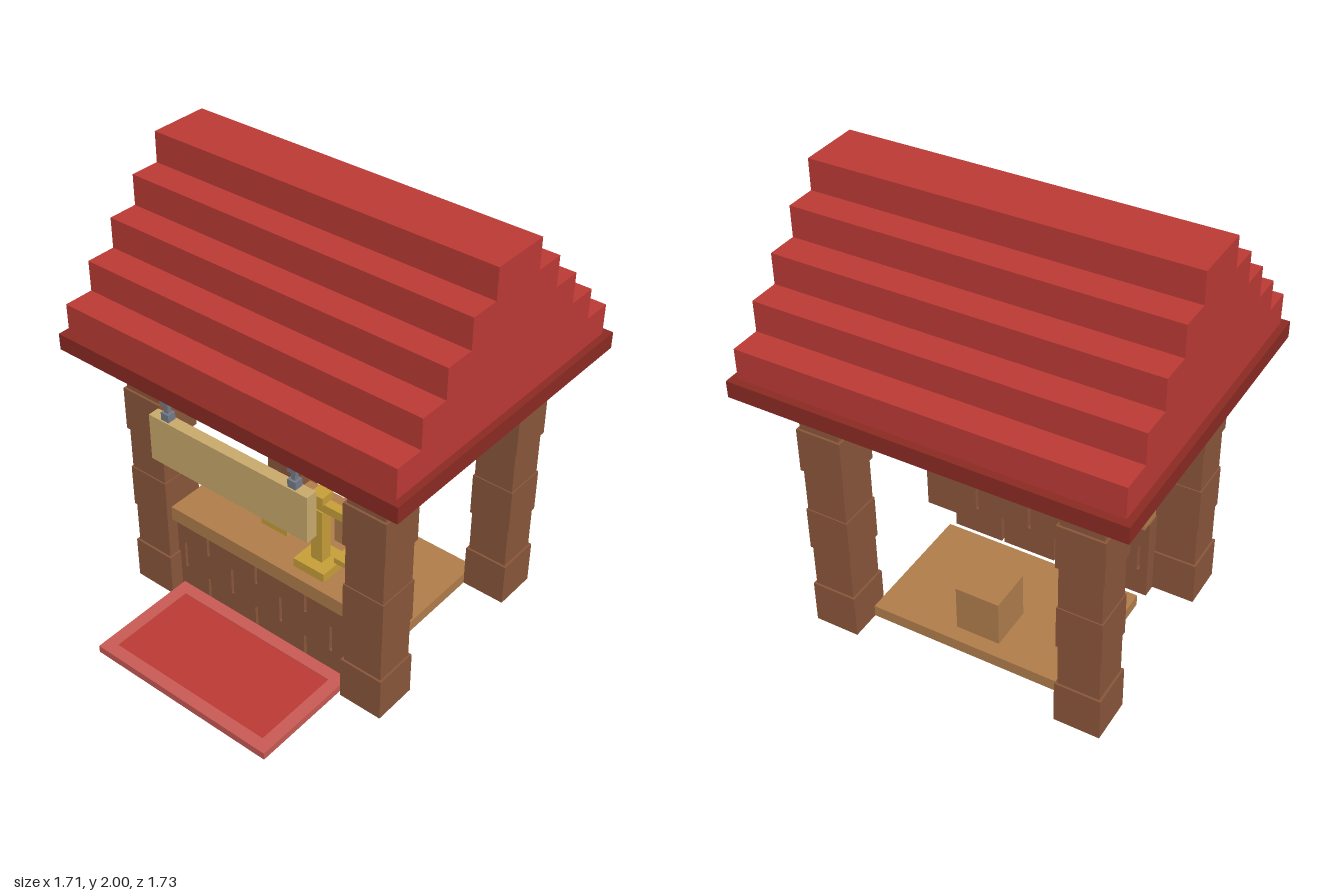
import * as THREE from 'three';

const mat = (name, color) => {
  const m = new THREE.MeshStandardMaterial({ color });
  m.name = name;
  return m;
};

export function createModel() {
  const M = {
    roof: mat('roofRed', 0xbc3a35),
    eave: mat('darkRed', 0x8c2a23),
    trim: mat('lightRed', 0xc95a54),
    wood: mat('brownWood', 0x8a563b),
    plank: mat('lightWood', 0xb07d4b),
    board: mat('paleWood', 0xc8aa6c),
    gold: mat('gold', 0xc79f39),
    iron: mat('greyIron', 0x747a87),
  };
  const model = new THREE.Group();
  model.name = 'marketStall';

  // Box given by its lower and upper limits on each axis
  const box = (parent, name, m, x0, x1, y0, y1, z0, z1) => {
    const mesh = new THREE.Mesh(new THREE.BoxGeometry(x1 - x0, y1 - y0, z1 - z0), m);
    mesh.position.set((x0 + x1) / 2, (y0 + y1) / 2, (z0 + z1) / 2);
    mesh.name = name;
    parent.add(mesh);
  };
  const group = (name) => {
    const g = new THREE.Group();
    g.name = name;
    model.add(g);
    return g;
  };

  // Stepped gable roof, extruded along x, on an eave slab
  const roof = group('roof');
  box(roof, 'eaveSlab', M.eave, -0.855, 0.855, 1.24, 1.315, -0.865, 0.57);
  const zMid = -0.145, step = 0.137;
  const profile = new THREE.Shape();
  profile.moveTo(-0.685, 1.315);
  for (let i = 0; i < 5; i++) {
    profile.lineTo(-0.685 + i * step, 1.315 + (i + 1) * step);
    if (i < 4) profile.lineTo(-0.685 + (i + 1) * step, 1.315 + (i + 1) * step);
  }
  for (let i = 4; i >= 0; i--) {
    profile.lineTo(0.685 - i * step, 1.315 + (i + 1) * step);
    profile.lineTo(0.685 - i * step, 1.315 + i * step);
  }
  const gable = new THREE.Mesh(
    new THREE.ExtrudeGeometry(profile, { depth: 1.65, bevelEnabled: false }), M.roof);
  gable.rotation.y = Math.PI / 2;
  gable.position.set(-0.825, 0, zMid);
  gable.name = 'steppedRoof';
  roof.add(gable);

  // Four posts of stacked blocks with slightly differing widths
  const widths = [0.207, 0.187, 0.2, 0.189, 0.207, 0.185];
  const blockH = 1.24 / widths.length;
  for (const x of [-0.583, 0.583]) {
    for (const z of [0.298, -0.59]) {
      const post = group(z > 0 ? 'frontPost' : 'backPost');
      widths.forEach((w, i) => box(post, 'postBlock', M.wood,
        x - w / 2, x + w / 2, i * blockH, (i + 1) * blockH, z - w / 2, z + w / 2));
    }
  }

  // Counter wall: three brick courses with staggered open joints
  const counter = group('counter');
  const courseH = 0.41 / 3, joint = 0.007;
  const oddJoints = [-0.31, -0.035, 0.238];
  const evenJoints = [-0.445, -0.172, 0.101, 0.374];
  [oddJoints, evenJoints, oddJoints].forEach((joints, row) => {
    let x = -0.49;
    for (const end of [...joints, 0.49 + joint]) {
      box(counter, 'counterBrick', M.wood, x, end - joint,
        row * courseH, (row + 1) * courseH, 0.13, 0.335);
      x = end + joint;
    }
  });
  box(counter, 'counterTop', M.plank, -0.485, 0.485, 0.41, 0.48, 0.09, 0.37);

  // Floor and crate behind the counter
  box(model, 'floor', M.plank, -0.48, 0.48, 0, 0.055, -0.557, 0.06);
  box(model, 'crate', M.plank, -0.103, 0.103, 0.055, 0.275, -0.487, -0.28);

  // Entrance mat: raised border, sunken panel and ribs underneath
  const rug = group('mat');
  for (const s of [-1, 1]) {
    const a = s * 0.41, b = s * 0.467;
    box(rug, 'matSideBorder', M.trim, Math.min(a, b), Math.max(a, b), 0, 0.035, 0.335, 0.865);
  }
  box(rug, 'matFrontBorder', M.trim, -0.41, 0.41, 0, 0.035, 0.808, 0.865);
  box(rug, 'matBackBorder', M.trim, -0.41, 0.41, 0, 0.035, 0.335, 0.392);
  box(rug, 'matPanel', M.roof, -0.41, 0.41, 0.012, 0.031, 0.392, 0.808);
  for (const x of [-0.137, 0.137]) {
    box(rug, 'matRib', M.roof, x - 0.007, x + 0.007, 0.002, 0.012, 0.392, 0.808);
  }
  box(rug, 'matRib', M.roof, -0.41, 0.41, 0.002, 0.012, 0.593, 0.607);

  // Blank hanging board on two chains
  const sign = group('hangingBoard');
  box(sign, 'board', M.board, -0.41, 0.41, 0.878, 1.097, 0.473, 0.527);
  for (const x of [-0.328, 0.328]) {
    for (let i = 0; i < 4; i++) {
      const r = i % 2 ? 0.01 : 0.02, y = 1.097 + i * 0.03575;
      box(sign, 'chainLink', M.iron, x - r, x + r, y, y + 0.03575, 0.5 - r, 0.5 + r);
    }
  }

  // Balance scale standing on the counter
  const scale = group('balanceScale');
  const cx = 0.244, cz = 0.242;
  const part = (name, x, half, y0, y1, halfZ = half) =>
    box(scale, name, M.gold, x - half, x + half, y0, y1, cz - halfZ, cz + halfZ);
  part('scaleBase', cx, 0.08, 0.48, 0.522);
  part('scalePost', cx, 0.028, 0.522, 0.785);
  part('scaleBeam', cx, 0.22, 0.785, 0.825, 0.021);
  part('scaleFinial', cx, 0.033, 0.825, 0.863);
  for (const s of [-1, 1]) {
    const x = cx + s * 0.192;
    part('panRod', x, 0.007, 0.632, 0.785);
    part('scalePan', x, 0.069, 0.606, 0.632);
  }

  return model;
}
